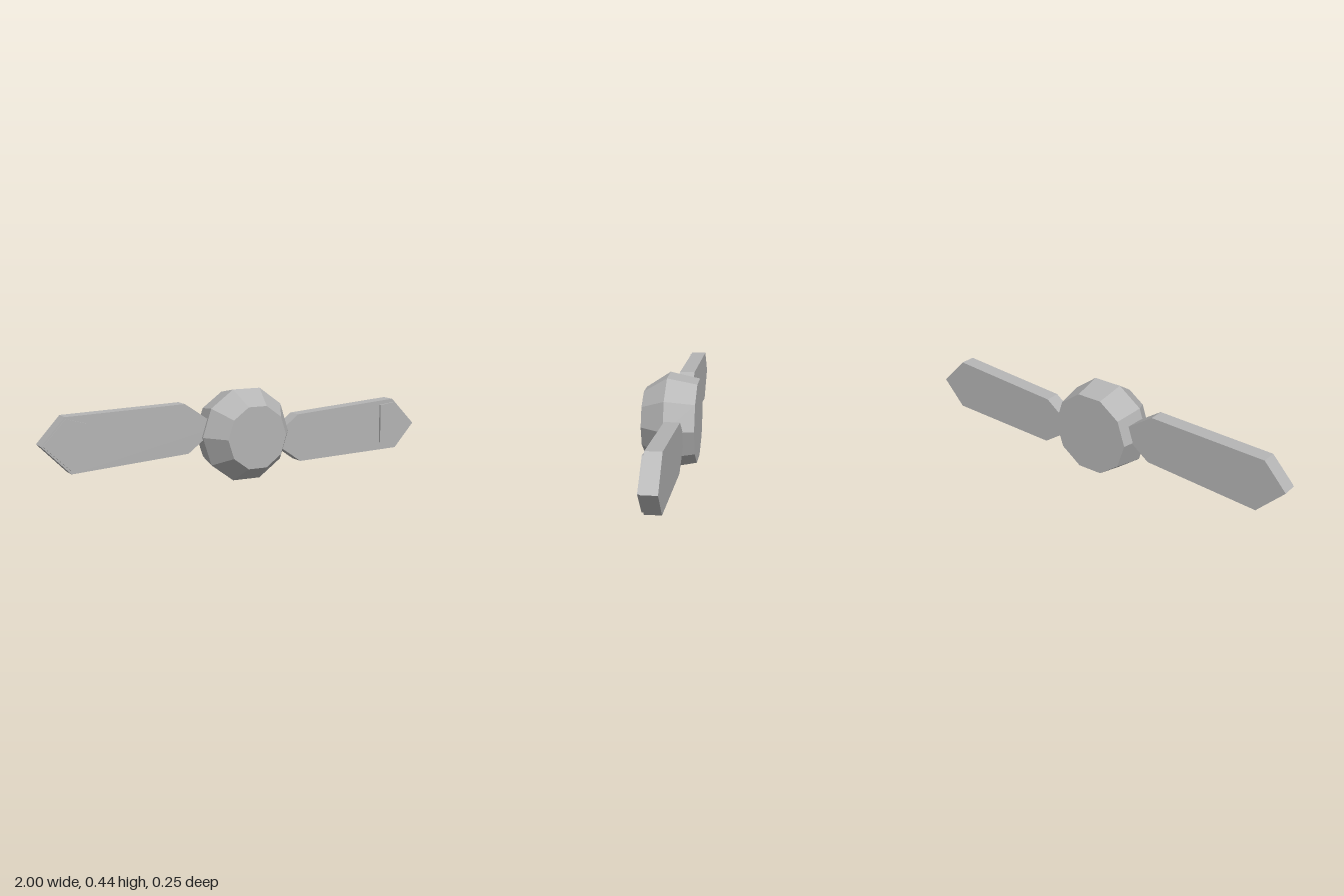
import * as THREE from 'three';

const CENTRE_Y = 0.2195;

// Flat plate from an outline in x/y, spanning z0 to z1
function plate(outline, z0, z1) {
  const shape = new THREE.Shape(outline.map(([x, y]) => new THREE.Vector2(x, y - CENTRE_Y)));
  const geometry = new THREE.ExtrudeGeometry(shape, { depth: z1 - z0, bevelEnabled: false });
  return geometry.translate(0, 0, z0);
}

export function createModel() {
  const model = new THREE.Group();
  model.name = 'propeller';
  const grey = new THREE.MeshStandardMaterial({ color: 0xb4b4b4, flatShading: true });
  grey.name = 'grey';

  const add = (parent, geometry, name) => {
    const mesh = new THREE.Mesh(geometry, grey);
    mesh.name = name;
    parent.add(mesh);
  };

  // Ten-sided hub: widest just ahead of the middle, flat at both ends
  const profile = [[0, -0.127], [0.201, -0.127], [0.23, 0.015], [0.154, 0.128], [0, 0.128]]
    .map(([r, z]) => new THREE.Vector2(r, z));
  const hubGeometry = new THREE.LatheGeometry(profile, 10, Math.PI / 2)
    .rotateX(Math.PI / 2).toNonIndexed();
  hubGeometry.computeVertexNormals();
  const hub = new THREE.Group();
  hub.name = 'hub';
  hub.position.y = CENTRE_Y;
  add(hub, hubGeometry, 'hubBody');
  model.add(hub);

  // Blade and its raised tip, repeated half a turn around the hub
  const bladeGeometry = plate([
    [0.14, 0.173], [0.313, 0.056], [0.888, 0.075],
    [0.998, 0.197], [0.864, 0.332], [0.297, 0.291],
  ], -0.074, -0.001);
  const tipGeometry = plate([
    [0.788, 0.11], [0.886, 0.083], [0.99, 0.197], [0.867, 0.315], [0.784, 0.305],
  ], -0.001, 0.0085);

  ['leftBlade', 'rightBlade'].forEach((name, i) => {
    const blade = new THREE.Group();
    blade.name = name;
    blade.position.y = CENTRE_Y;
    blade.rotation.z = i * Math.PI;
    add(blade, bladeGeometry, 'bladeBody');
    add(blade, tipGeometry, 'bladeTip');
    model.add(blade);
  });

  return model;
}
